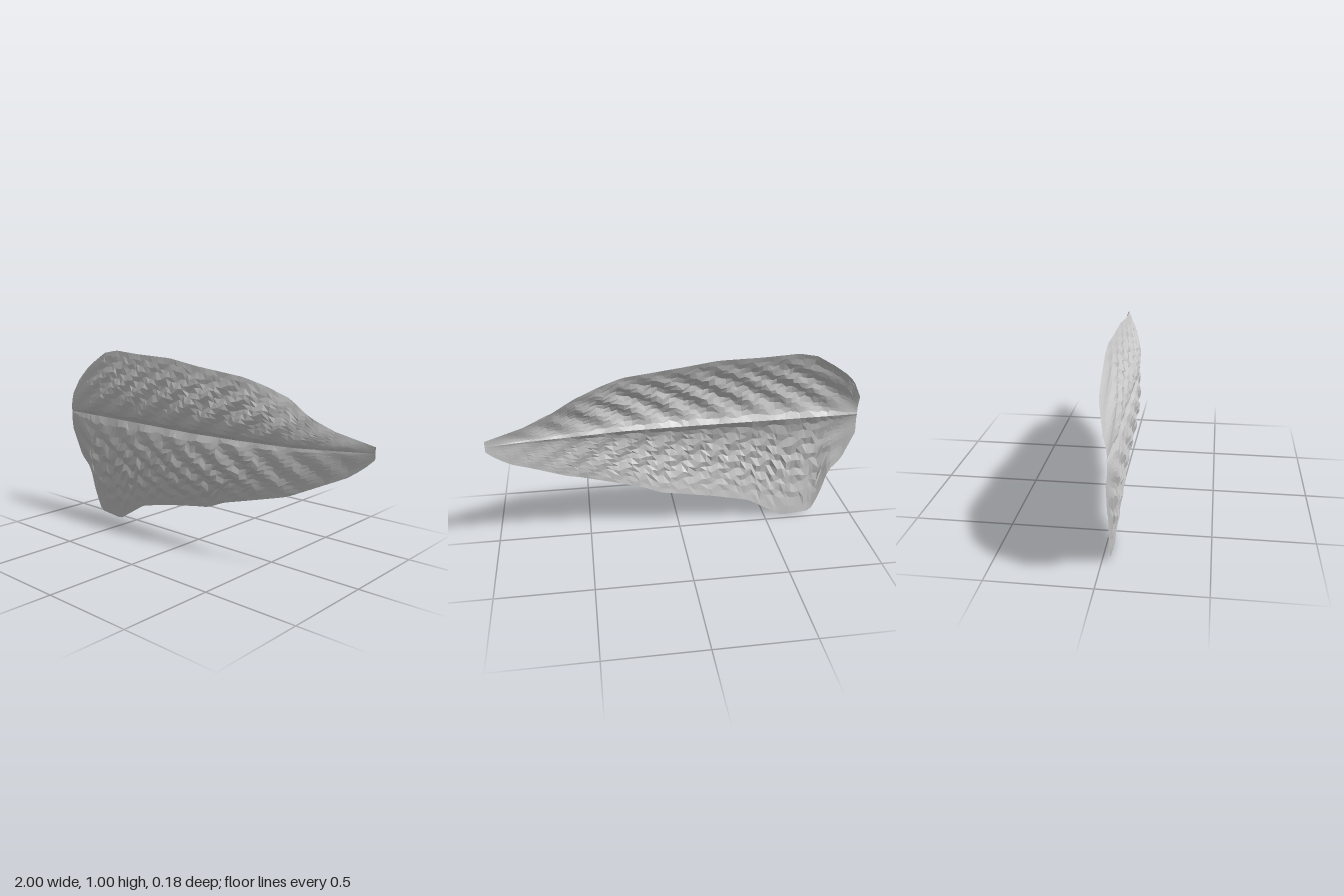
import * as THREE from 'three';

// Piecewise-linear profile through [x, value] pairs
const profile = (pts) => (x) => {
  let i = 1;
  while (i < pts.length - 1 && x > pts[i][0]) i++;
  const [x0, a] = pts[i - 1], [x1, b] = pts[i];
  return a + (b - a) * THREE.MathUtils.clamp((x - x0) / (x1 - x0), 0, 1);
};

// Outline of the blade, above and below the midrib
const topY = profile([[-1, 0.72], [-0.95, 0.82], [-0.9, 0.87], [-0.83, 0.92], [-0.73, 0.98], [-0.63, 1],
  [-0.45, 0.99], [-0.2, 0.985], [0, 0.957], [0.3, 0.925], [0.42, 0.89], [0.55, 0.84], [0.66, 0.77],
  [0.8, 0.71], [0.92, 0.68], [1, 0.66]]);
const bottomY = profile([[-1, 0.5], [-0.93, 0.34], [-0.86, 0.27], [-0.82, 0.12], [-0.77, 0.015], [-0.6, 0],
  [-0.4, 0.12], [-0.2, 0.165], [0, 0.2], [0.1, 0.215], [0.2, 0.26], [0.6, 0.37], [0.75, 0.44],
  [0.88, 0.5], [0.95, 0.55], [1, 0.6]]);
const midY = profile([[-1, 0.61], [0, 0.605], [0.6, 0.61], [1, 0.63]]);

// Depth along the midrib and along both margins
const midZ = profile([[-1, 0.058], [-0.5, 0.052], [0, 0.05], [0.3, 0.034], [0.6, -0.003], [0.8, -0.042], [1, -0.09]]);
const topZ = profile([[-1, 0.045], [-0.93, 0.018], [-0.6, 0.014], [0, 0.012], [0.3, -0.002], [0.55, -0.047],
  [0.7, -0.04], [1, -0.09]]);
const bottomZ = profile([[-1, 0.055], [-0.8, 0.038], [0, 0.03], [0.35, 0.03], [0.55, 0.025], [0.8, -0.03], [1, -0.09]]);

// Height of the swelling on each side of the midrib, and of the vein ripples
const swell = profile([[-1, 0.004], [-0.8, 0.028], [0, 0.034], [0.3, 0.024], [0.6, 0.012], [1, 0]]);
const ripple = profile([[-1, 0], [-0.8, 0.008], [0.3, 0.011], [0.6, 0.006], [1, 0]]);

function seeded(seed) {
  return () => (seed = (seed * 16807) % 2147483647) / 2147483647;
}

// Point on the blade: v runs from -1 (lower margin) over 0 (midrib) to 1 (upper margin)
function bladePoint(x, v) {
  const t = Math.abs(v), up = v > 0;
  const mid = midY(x);
  const y = mid + ((up ? topY(x) : bottomY(x)) - mid) * t;
  const d = Math.abs(y - mid);
  const edge = up ? topZ(x) : bottomZ(x);
  let z = THREE.MathUtils.lerp(midZ(x), edge, t ** 1.8);
  z += swell(x) * Math.sin(Math.PI * t ** 0.6);
  // side veins sweep away from the midrib towards the tip
  const phase = (x - 1.1 * d - 1.6 * d * d + (up ? 0.06 : 0)) / 0.21;
  z += ripple(x) * Math.sin(Math.PI * t ** 0.8) * Math.sin(phase * Math.PI * 2);
  return [x, y, z];
}

function bladeGeometry() {
  const cols = 64, rows = 26, pos = [], index = [], rand = seeded(7);
  for (let i = 0; i <= cols; i++) {
    const u = i / cols;
    const x = -1 + 2 * u ** 1.25; // finer columns at the steep base
    for (let j = 0; j <= rows; j++) {
      const inside = i > 0 && i < cols && j > 0 && j < rows;
      const jx = inside ? (rand() - 0.5) * 0.014 : 0;
      const jv = inside && j !== rows / 2 ? (rand() - 0.5) * 0.04 : 0;
      pos.push(...bladePoint(x + jx, (2 * j) / rows - 1 + jv));
    }
  }
  const n = rows + 1;
  for (let i = 0; i < cols; i++) {
    for (let j = 0; j < rows; j++) {
      const a = i * n + j, b = a + n, c = b + 1, d = a + 1;
      if ((j < rows / 2) === (i % 3 > 0)) index.push(a, b, c, a, c, d);
      else index.push(a, b, d, b, c, d);
    }
  }
  const geo = new THREE.BufferGeometry();
  geo.setAttribute('position', new THREE.Float32BufferAttribute(pos, 3));
  geo.setIndex(index);
  geo.computeVertexNormals();
  return geo;
}

export function createModel() {
  const group = new THREE.Group();
  group.name = 'leaf';
  const material = new THREE.MeshStandardMaterial({ color: 0xcccccc, flatShading: true, side: THREE.DoubleSide });
  const blade = new THREE.Mesh(bladeGeometry(), material);
  blade.name = 'leafBlade';
  group.add(blade);
  return group;
}
